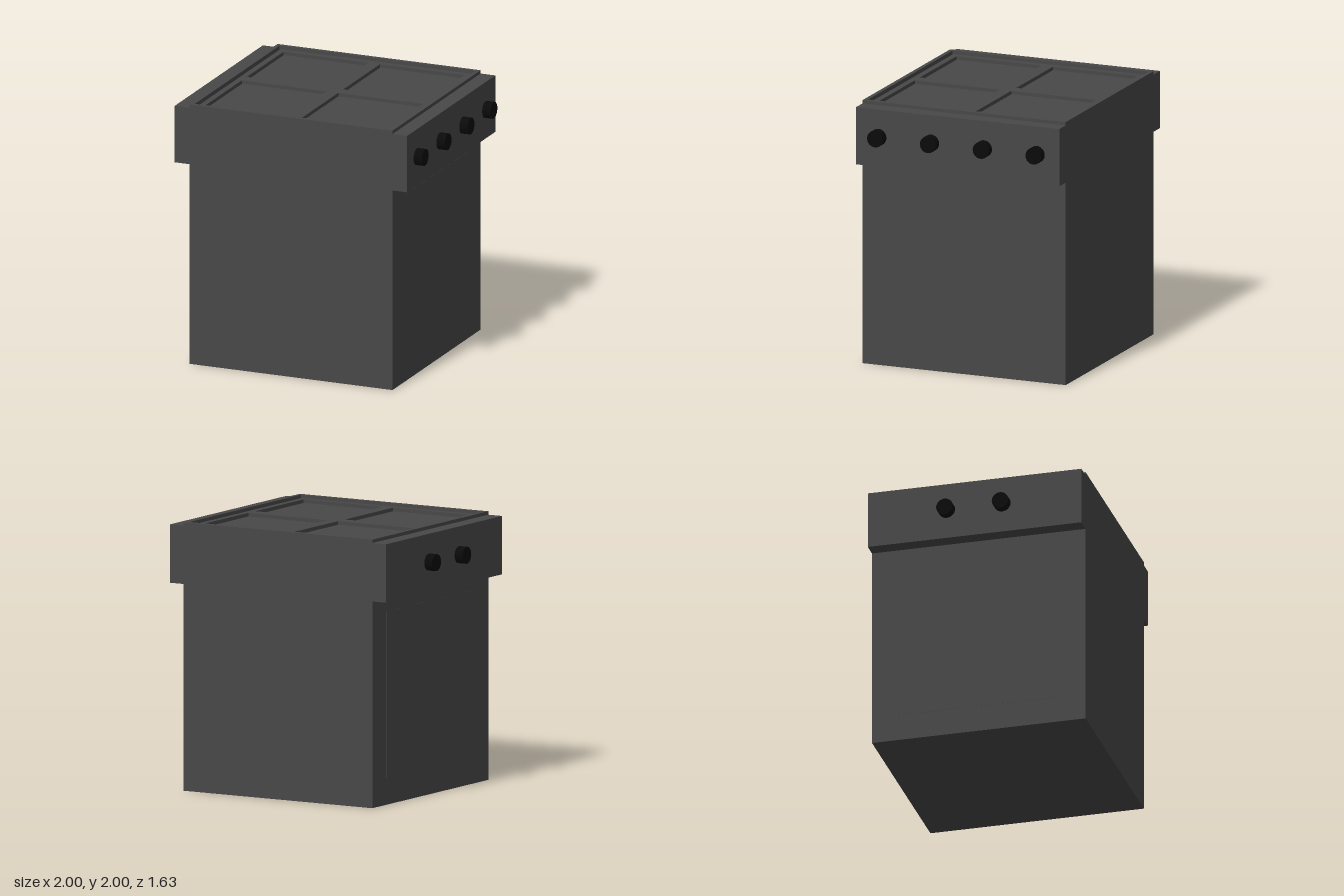
import * as THREE from 'three';

const bodyMat = new THREE.MeshStandardMaterial({ color: 0x484848 });
const knobMat = new THREE.MeshStandardMaterial({ color: 0x0a0a0a });

const FLOOR = 1.95; // level of the cooking plates

function square(Type, cx, cy, r) {
  const s = new Type();
  s.moveTo(cx - r, cy - r);
  s.lineTo(cx + r, cy - r);
  s.lineTo(cx + r, cy + r);
  s.lineTo(cx - r, cy + r);
  s.closePath();
  return s;
}

export function createModel() {
  const group = new THREE.Group();

  const add = (name, geometry, material, x = 0, y = 0, z = 0) => {
    const mesh = new THREE.Mesh(geometry, material);
    mesh.name = name;
    mesh.position.set(x, y, z);
    group.add(mesh);
    return mesh;
  };

  // Flat frame lying on the cooking plates, pierced by square holes
  const addFrame = (name, half, holes, height) => {
    const shape = square(THREE.Shape, 0, 0, half);
    shape.holes = holes.map(([x, y, r]) => square(THREE.Path, x, y, r));
    const geo = new THREE.ExtrudeGeometry(shape, { depth: height, bevelEnabled: false });
    geo.rotateX(-Math.PI / 2);
    add(name, geo, bodyMat, 0, FLOOR, 0);
  };

  // Cabinet; its top forms the four sunken plates
  add('cabinet', new THREE.BoxGeometry(1.63, FLOOR, 1.63), bodyMat, 0, FLOOR / 2, 0);

  // Raised outer rim and the cross-shaped frame inside it
  addFrame('topRim', 0.815, [[0, 0, 0.784]], 0.05);
  const c = 0.387;
  addFrame('plateFrame', 0.774, [[c, c, 0.34], [-c, c, 0.34], [c, -c, 0.34], [-c, -c, 0.34]], 0.027);

  // Control panels, knobs and thin door panels on both sides
  const knobRows = { 1: [-0.635, -0.212, 0.212, 0.635], '-1': [-0.212, 0.212] };
  for (const side of [1, -1]) {
    const label = side > 0 ? 'left' : 'right';
    add(label + 'ControlPanel', new THREE.BoxGeometry(0.12, 0.435, 1.63), bodyMat, side * 0.873, 1.757, 0);
    add(label + 'DoorPanel', new THREE.BoxGeometry(0.01, 1.24, 1.24), bodyMat, side * 0.811, 0.82, 0);
    for (const z of knobRows[side]) {
      const knob = add(label + 'Knob', new THREE.CylinderGeometry(0.063, 0.063, 0.08, 32), knobMat, side * 0.96, 1.765, z);
      knob.rotation.z = -side * Math.PI / 2;
    }
  }

  return group;
}
